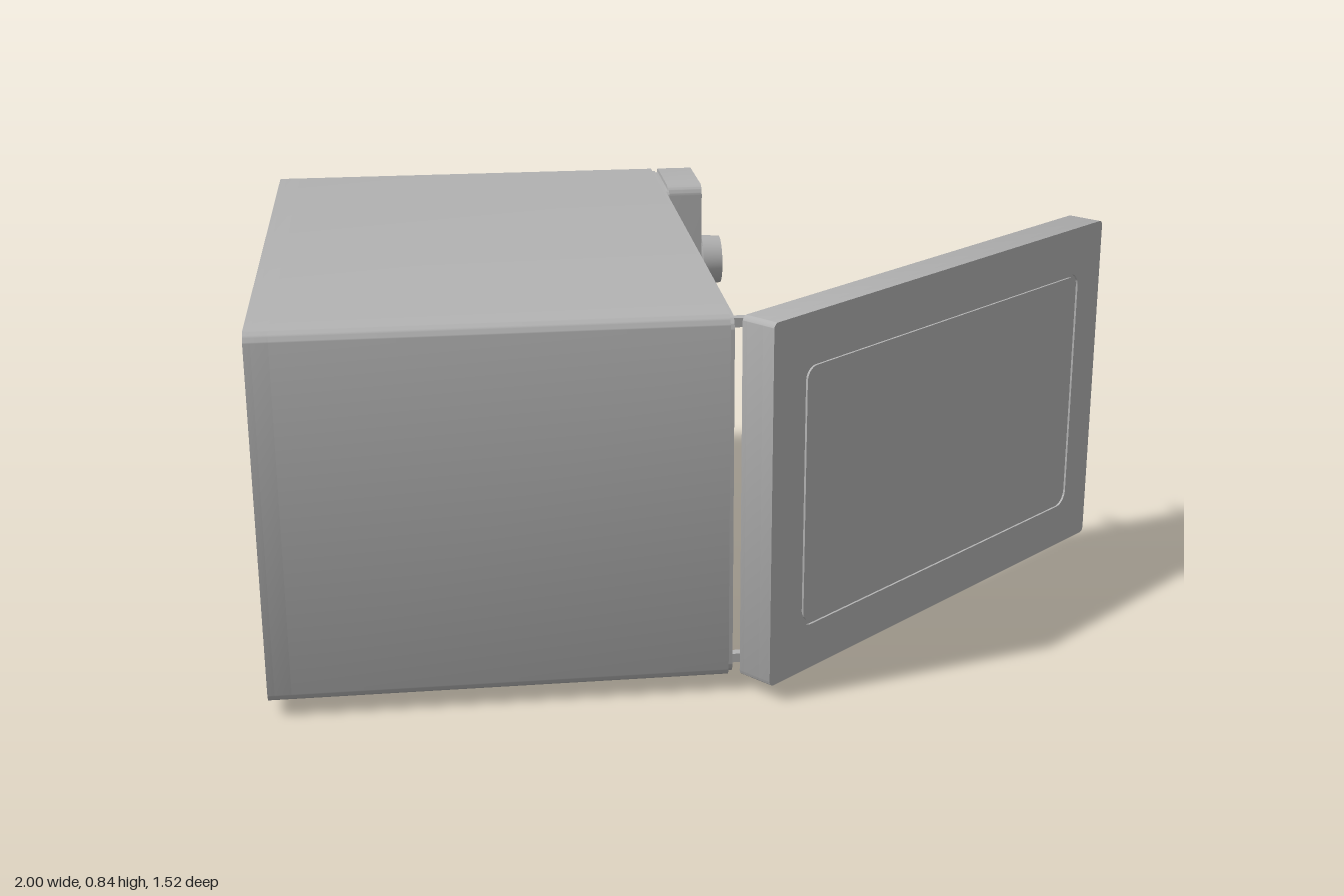
import * as THREE from 'three';
import { toCreasedNormals } from 'three/addons/utils/BufferGeometryUtils.js';

const grey = new THREE.MeshStandardMaterial({ color: 0xb3b3b3 });
grey.name = 'grey';

// Rounded rectangle outline [u0, u1, v0, v1, radius]
function trace(path, [u0, u1, v0, v1, r]) {
  const h = Math.PI / 2;
  path.absarc(u1 - r, v0 + r, r, -h, 0);
  path.absarc(u1 - r, v1 - r, r, 0, h);
  path.absarc(u0 + r, v1 - r, r, h, 2 * h);
  path.absarc(u0 + r, v0 + r, r, 2 * h, 3 * h);
  path.closePath();
  return path;
}

function add(parent, name, geometry, x = 0, y = 0, z = 0) {
  const mesh = new THREE.Mesh(geometry, grey);
  mesh.name = name;
  mesh.position.set(x, y, z);
  parent.add(mesh);
  return mesh;
}

// Flat slab from z0 to z1, with rounded holes
function slab(parent, name, rect, z0, z1, holes = []) {
  const shape = trace(new THREE.Shape(), rect);
  for (const hole of holes) shape.holes.push(trace(new THREE.Path(), hole));
  const geo = new THREE.ExtrudeGeometry(shape, { depth: z1 - z0, bevelEnabled: false, curveSegments: 8 });
  return add(parent, name, toCreasedNormals(geo, 0.6), 0, 0, z0);
}

// Pressed panel that slopes up by height over a given margin
function emboss(parent, name, [u0, u1, v0, v1, r], height, slope) {
  const shape = trace(new THREE.Shape(), [u0 + slope, u1 - slope, v0 + slope, v1 - slope, r]);
  const geo = new THREE.ExtrudeGeometry(shape, {
    depth: 0.001, bevelThickness: height, bevelSize: slope, bevelSegments: 4, curveSegments: 8,
  });
  return add(parent, name, toCreasedNormals(geo, 0.7), 0, 0, -0.001);
}

// Shifted and turned sub-group
function mount(parent, name, x, y, z, rx = 0, ry = 0) {
  const group = new THREE.Group();
  group.name = name;
  group.position.set(x, y, z);
  group.rotation.set(rx, ry, 0);
  parent.add(group);
  return group;
}

export function createModel() {
  const model = new THREE.Group();
  model.name = 'microwave';
  // The oven is built facing local +z, then turned to face +x
  const oven = mount(model, 'oven', 0, 0, 0, 0, Math.PI / 2);

  // Casing with cavity and latch slots
  const outline = [-0.69, 0.76, 0.03, 0.84, 0.03];
  const latchHeights = [0.315, 0.565];
  const latchSlots = latchHeights.map((y) => [0.455, 0.468, y - 0.025, y + 0.025, 0.004]);
  slab(oven, 'casing', outline, -0.93, -0.006, [[-0.585, 0.41, 0.135, 0.73, 0.03], ...latchSlots]);
  slab(oven, 'frontFrame', [-0.685, 0.755, 0.035, 0.835, 0.03], -0.006, 0.003,
    [[-0.59, 0.415, 0.13, 0.735, 0.035], ...latchSlots]);
  slab(oven, 'cavityBack', outline, -0.965, -0.93);
  slab(oven, 'cavityBackRim', [-0.585, 0.41, 0.135, 0.73, 0.03], -0.93, -0.91,
    [[-0.52, 0.345, 0.2, 0.67, 0.05]]);

  // Rear skin with vent slots
  const back = mount(oven, 'back', 0, 0, -0.98, 0, Math.PI);
  const vents = [];
  for (let i = 0; i < 5; i++) {
    const u = -0.265 + i * 0.187;
    vents.push([u - 0.07, u + 0.07, 0.7, 0.74, 0.018]);
  }
  for (const y of [0.19, 0.39, 0.59]) vents.push([0.575, 0.62, y - 0.065, y + 0.065, 0.02]);
  slab(back, 'rearSkin', [-0.76, 0.69, 0.03, 0.84, 0.03], -0.015, 0, vents);
  emboss(back, 'rearBulge', [-0.33, 0.47, 0.2, 0.6, 0.03], 0.02, 0.06);

  // Pressed panel on the side behind the controls
  const side = mount(oven, 'side', 0.76, 0, 0, 0, Math.PI / 2);
  emboss(side, 'sidePanel', [0.11, 0.87, 0.18, 0.69, 0.04], 0.008, 0.03);

  // Base pan and feet
  const base = mount(oven, 'base', 0, 0.03, 0, Math.PI / 2);
  emboss(base, 'basePan', [-0.61, 0.67, -0.9, -0.08, 0.03], 0.012, 0.05);
  for (const x of [-0.49, 0.53]) {
    for (const z of [-0.775, -0.2]) {
      add(oven, 'foot', new THREE.CylinderGeometry(0.026, 0.023, 0.026, 20), x, 0.013, z);
    }
  }

  // Turntable plate
  const profile = [[0, 0.145], [0.39, 0.145], [0.44, 0.162], [0.44, 0.168], [0.385, 0.153], [0, 0.153]];
  const plate = new THREE.LatheGeometry(profile.map(([r, y]) => new THREE.Vector2(r, y)), 48);
  add(oven, 'turntable', toCreasedNormals(plate, 0.5), -0.088, 0, -0.465);
  add(oven, 'turntableHub', new THREE.CylinderGeometry(0.05, 0.05, 0.02, 20), -0.088, 0.14, -0.465);

  // Control panel
  slab(oven, 'controlPanelBack', [0.5, 0.75, 0.045, 0.83, 0.02], 0, 0.015);
  slab(oven, 'controlPanel', [0.51, 0.755, 0.033, 0.84, 0.025], 0.012, 0.1);
  slab(oven, 'openButtonRim', [0.549, 0.712, 0.092, 0.186, 0.008], 0.1, 0.103,
    [[0.554, 0.707, 0.097, 0.181, 0.006]]);
  slab(oven, 'openButton', [0.559, 0.702, 0.102, 0.176, 0.005], 0.1, 0.103);
  for (const y of [0.325, 0.612]) {
    const stem = add(oven, 'knobStem', new THREE.CylinderGeometry(0.056, 0.056, 0.02, 40), 0.632, y, 0.108);
    const knob = add(oven, 'knob', new THREE.CylinderGeometry(0.062, 0.066, 0.05, 40), 0.632, y, 0.139);
    stem.rotation.x = knob.rotation.x = Math.PI / 2;
  }

  // Hinges
  for (const y of [0.06, 0.815]) {
    add(oven, 'hinge', new THREE.BoxGeometry(0.02, 0.02, 0.04), -0.645, y, 0.02);
    add(oven, 'hingeArm', new THREE.BoxGeometry(0.05, 0.02, 0.012), -0.668, y, 0.034);
  }

  // Open door: local x runs from hinge to latch, +z is the outer face
  const door = mount(oven, 'door', -0.69, 0, 0.018, 0, -0.883);
  const edge = [0, 1.204, 0.036, 0.84, 0.012];
  const windowHole = [0.13, 1.075, 0.155, 0.725, 0.02];
  slab(door, 'doorInnerBorder', edge, 0, 0.012, [[0.06, 1.144, 0.095, 0.78, 0.03]]);
  slab(door, 'doorInnerRim', [0.085, 1.119, 0.118, 0.757, 0.03], 0, 0.012, [windowHole]);
  slab(door, 'doorFrame', edge, 0.012, 0.055, [windowHole]);
  slab(door, 'doorCore', edge, 0.055, 0.08);
  slab(door, 'doorOuterFrame', edge, 0.08, 0.085, [[0.1, 1.112, 0.138, 0.73, 0.035]]);
  slab(door, 'doorWindow', [0.108, 1.104, 0.146, 0.722, 0.03], 0.08, 0.085);

  // Latch hooks
  for (const y of [0.3, 0.55]) {
    add(door, 'latchHook', new THREE.BoxGeometry(0.008, 0.014, 0.07), 1.16, y, -0.03);
    add(door, 'latchTip', new THREE.BoxGeometry(0.008, 0.025, 0.012), 1.16, y - 0.006, -0.059);
  }
  return model;
}
